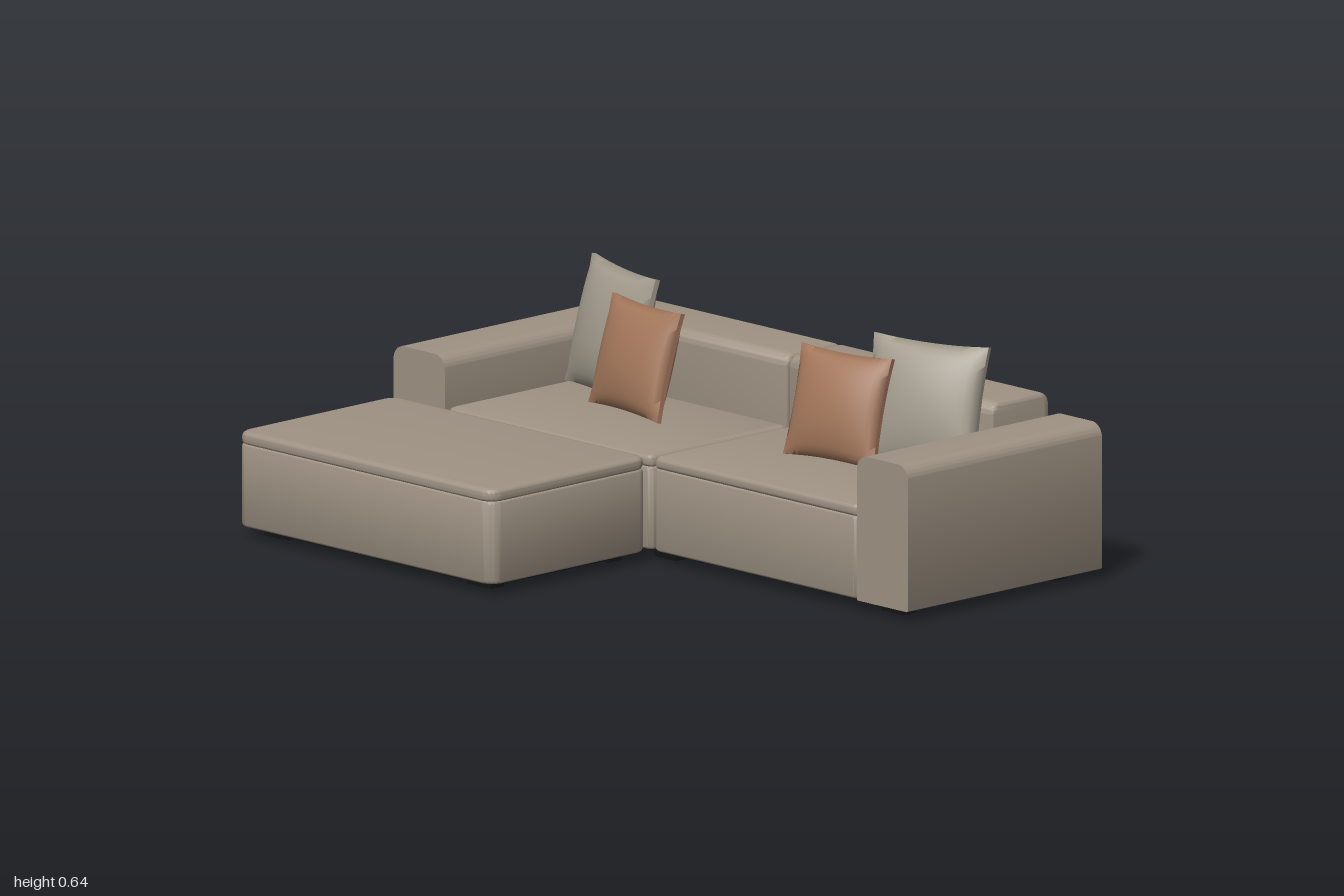
import * as THREE from 'three';
import { mergeVertices, toCreasedNormals } from 'three/addons/utils/BufferGeometryUtils.js';

const material = (name, color) => {
  const m = new THREE.MeshStandardMaterial({ color });
  m.name = name;
  return m;
};

// Rounded rectangle centred on the origin, with separate top and bottom radii
function roundedRect(w, h, top, bottom = top) {
  const s = new THREE.Shape(), x = w / 2, y = h / 2;
  s.moveTo(-x + bottom, -y);
  s.lineTo(x - bottom, -y);
  s.absarc(x - bottom, -y + bottom, bottom, -Math.PI / 2, 0);
  s.lineTo(x, y - top);
  s.absarc(x - top, y - top, top, 0, Math.PI / 2);
  s.lineTo(-x + top, y);
  s.absarc(-x + top, y - top, top, Math.PI / 2, Math.PI);
  s.lineTo(-x, -y + bottom);
  s.absarc(-x + bottom, -y + bottom, bottom, Math.PI, Math.PI * 1.5);
  return s;
}

// Extrudes a shape to a total depth, centred, with softened end edges
function softExtrude(shape, depth, bevel) {
  const g = new THREE.ExtrudeGeometry(shape, {
    depth: depth - 2 * bevel, curveSegments: 6, bevelEnabled: bevel > 0,
    bevelSize: bevel, bevelThickness: bevel, bevelOffset: -bevel, bevelSegments: 4,
  });
  g.translate(0, 0, -depth / 2 + bevel);
  return toCreasedNormals(g, 0.7);
}

// Plump square pillow with pinched edges and pointed corners
function pillowGeometry(halfW, halfH, halfT) {
  const g = new THREE.BoxGeometry(2, 2, 2, 20, 20, 2);
  g.deleteAttribute('uv');
  g.deleteAttribute('normal');
  const p = g.attributes.position;
  for (let i = 0; i < p.count; i++) {
    const u = p.getX(i), v = p.getY(i);
    const puff = Math.pow(Math.max(0, (1 - u * u) * (1 - v * v)), 0.6);
    p.setXYZ(i,
      halfW * u * (1 - 0.05 * (1 - v * v)),
      halfH * v * (1 - 0.05 * (1 - u * u)),
      p.getZ(i) * (0.007 + (halfT - 0.007) * puff));
  }
  return toCreasedNormals(mergeVertices(g), 0.9);
}

export function createModel() {
  const sofa = new THREE.Group();
  sofa.name = 'sectionalSofa';
  const fabric = material('taupe fabric', 0x9e9283);
  const greyFabric = material('grey pillow fabric', 0xa19a8c);
  const brownFabric = material('brown pillow fabric', 0xa2765a);
  const black = material('black base', 0x141414);

  const add = (name, geometry, mat, x, y, z, parent = sofa) => {
    const m = new THREE.Mesh(geometry, mat);
    m.name = name;
    m.position.set(x, y, z);
    parent.add(m);
    return m;
  };
  const slab = (name, x0, x1, y0, y1, z0, z1, radius, bevel, parent) => {
    const g = softExtrude(roundedRect(x1 - x0, z1 - z0, radius), y1 - y0, bevel);
    g.rotateX(-Math.PI / 2);
    add(name, g, fabric, (x0 + x1) / 2, (y0 + y1) / 2, (z0 + z1) / 2, parent);
  };
  const block = (name, x0, x1, y0, y1, z0, z1) =>
    add(name, new THREE.BoxGeometry(x1 - x0, y1 - y0, z1 - z0), black,
      (x0 + x1) / 2, (y0 + y1) / 2, (z0 + z1) / 2);

  // Upholstered body with a seam below its top cushion
  const seat = (name, x0, x1, z0, z1, radius) => {
    const group = new THREE.Group();
    group.name = name;
    slab(name + 'Body', x0, x1, 0.03, 0.262, z0, z1, radius, 0.012, group);
    slab(name + 'Cushion', x0, x1, 0.256, 0.294, z0, z1, radius, 0.018, group);
    sofa.add(group);
  };
  seat('rightSeat', -0.8, -0.002, -0.46, 0.062, 0.022);
  seat('leftSeat', 0.002, 0.8, -0.46, 0.062, 0.022);
  seat('ottoman', -0.998, -0.002, 0.067, 0.663, 0.045);

  for (const side of [-1, 1]) {
    const label = side < 0 ? 'right' : 'left';

    // Armrest
    const arm = softExtrude(roundedRect(0.199, 0.405, 0.04, 0.006), 0.73, 0);
    add(label + 'Armrest', arm, fabric, side * 0.9, 0.2325, -0.3);

    // Backrest
    const back = softExtrude(roundedRect(0.218, 0.46, 0.034, 0.016), 0.796, 0.015);
    back.rotateY(Math.PI / 2);
    add(label + 'Backrest', back, fabric, side * 0.4, 0.26, -0.556);

    // Pillows leaning on the backrest
    const grey = add(label + 'GreyPillow', pillowGeometry(0.18, 0.177, 0.06), greyFabric,
      side * 0.607, 0.467, -0.378);
    grey.rotation.set(-0.24, side * 0.27, 0, 'YXZ');
    const brown = add(label + 'BrownPillow', pillowGeometry(0.156, 0.152, 0.055), brownFabric,
      side * 0.393, 0.445, -0.262);
    brown.rotation.set(-0.27, side * 0.13, 0, 'YXZ');

    // Feet under the armrest
    const x = side * 0.88;
    block(label + 'FrontFoot', x - 0.042, x + 0.042, 0, 0.032, -0.04, 0.01);
    block(label + 'BackFoot', x - 0.042, x + 0.042, 0, 0.032, -0.61, -0.56);

    // Ottoman feet
    for (const z of [0.14, 0.585]) {
      const fx = -0.5 + side * 0.395;
      block('ottomanFoot', fx - 0.045, fx + 0.045, 0.004, 0.032, z - 0.025, z + 0.025);
    }
  }

  // Middle feet and dark underside panels
  block('middleFrontFoot', -0.042, 0.042, 0, 0.032, -0.04, 0.01);
  block('middleBackFoot', -0.042, 0.042, 0, 0.032, -0.61, -0.56);
  block('seatUndersidePanel', -0.78, 0.78, 0.013, 0.032, -0.465, 0.008);
  block('ottomanUndersidePanel', -0.945, -0.055, 0.013, 0.032, 0.12, 0.612);

  return sofa;
}
